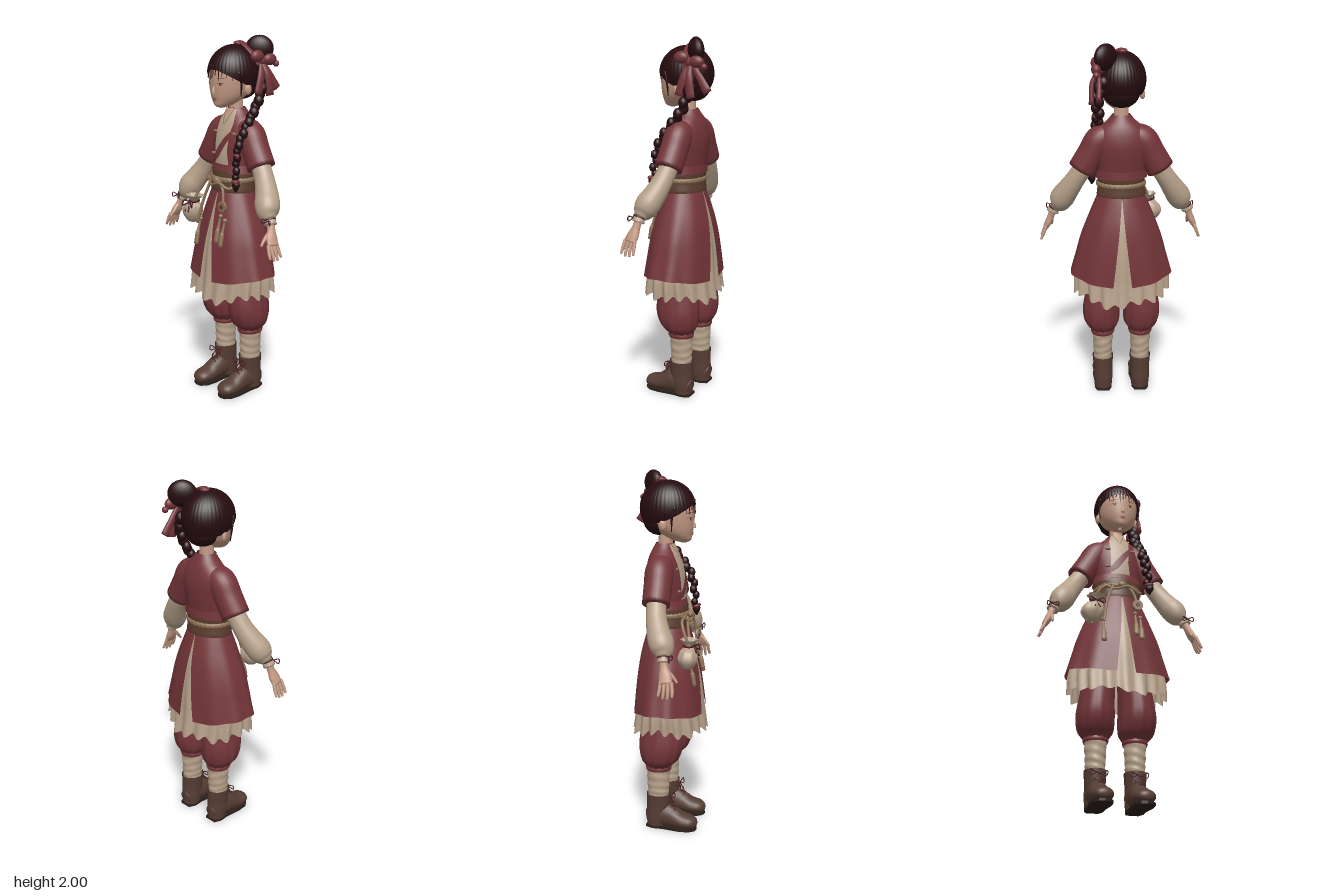
import * as THREE from 'three';

const mat = (name, color, side = THREE.DoubleSide) =>
  Object.assign(new THREE.MeshStandardMaterial({ color, side }), { name });
const V = (x, y, z) => new THREE.Vector3(x, y, z);
const { sin, cos, PI, max, sqrt } = Math;

// Smooth grid surface; u runs around, v runs along
function surface(nu, nv, fn, closed = true) {
  const pos = [], idx = [], w = closed ? nu : nu + 1;
  for (let i = 0; i <= nv; i++)
    for (let j = 0; j < w; j++) pos.push(...fn(j / nu, i / nv));
  for (let i = 0; i < nv; i++)
    for (let j = 0; j < nu; j++) {
      const a = i * w + j, b = i * w + (j + 1) % w;
      idx.push(a, b, a + w, b, b + w, a + w);
    }
  const g = new THREE.BufferGeometry();
  g.setAttribute('position', new THREE.Float32BufferAttribute(pos, 3));
  g.setIndex(idx);
  g.computeVertexNormals();
  return g;
}

const spline = pts => new THREE.CatmullRomCurve3(pts, false, 'catmullrom');

// Upright body made of ellipses, rows ascending: [y, cx, cz, rx, rz]
function profile(rows) {
  const c = spline(rows.map(r => V(r[1], r[0], r[2]))), q = spline(rows.map(r => V(r[3], r[4], 0)));
  const at = t => [c.getPoint(t), q.getPoint(t)];
  const frontZ = (x, y) => {
    let lo = 0, hi = 1;
    for (let k = 0; k < 24; k++) { const m = (lo + hi) / 2; if (c.getPoint(m).y < y) lo = m; else hi = m; }
    const [p, r] = at(lo);
    return p.z + r.y * sqrt(max(0, 1 - ((x - p.x) / r.x) ** 2));
  };
  return { at, frontZ };
}
function loft(prof, { nu = 40, nv = 24, m = () => 1, range = null, drop = () => 0 } = {}) {
  return surface(nu, nv, (u, v) => {
    const [a0, a1] = range ? range(v) : [0, 2 * PI];
    const a = a0 + (a1 - a0) * u, [p, r] = prof.at(v), k = m(a, v);
    return [p.x + r.x * sin(a) * k, p.y - drop(a, v), p.z + r.y * cos(a) * k];
  }, !range);
}
// Thin plate laid on the front of a body, rows ascending: [y, xLeft, xRight]
function plate(prof, rows, off) {
  const n = rows.length - 1;
  return surface(10, n * 4, (u, v) => {
    const i = Math.min(n - 1, Math.floor(v * n)), f = v * n - i;
    const [y, l, r] = rows[i].map((e, k) => e + (rows[i + 1][k] - e) * f), x = l + (r - l) * u;
    return [x, y, prof.frontZ(x, y) + off];
  }, false);
}
// Capped tube with varying elliptical section: [x, y, z, ra, rb]
function tube(pts, { nu = 12, seg = 5, ref = V(0, 0, 1) } = {}) {
  const c = spline(pts.map(p => V(p[0], p[1], p[2]))), q = spline(pts.map(p => V(p[3], p[4] ?? p[3], 0)));
  const n = (pts.length - 1) * seg;
  return surface(nu, n + 2, (u, v) => {
    const k = Math.round(v * (n + 2)) - 1, t = Math.min(1, max(0, k / n));
    const T = c.getTangent(t), A = ref.clone().cross(T).normalize(), B = T.clone().cross(A);
    const r = q.getPoint(t).multiplyScalar(k < 0 || k > n ? 0 : 1), a = u * 2 * PI;
    return c.getPoint(t).addScaledVector(A, r.x * cos(a)).addScaledVector(B, r.y * sin(a)).toArray();
  });
}
const ball = (x, y, z, a, b = a, c = a, ry = 0) =>
  new THREE.SphereGeometry(1, 20, 14).scale(a, b, c).rotateY(ry).translate(x, y, z);

export function createModel() {
  const model = new THREE.Group();
  model.name = 'girl';
  const red = mat('red cloth', 0x743539), cord = mat('dark red cord', 0x4a1c20);
  const linen = mat('linen', 0xb7a28b), skin = mat('skin', 0xc49a84), hair = mat('dark hair', 0x260c0f);
  const leather = mat('boot leather', 0x553d33), sole = mat('sole', 0x2b201c);
  const sash = mat('sash brown', 0x5c3d2e), rope = mat('rope', 0x8f7357), lip = mat('lip', 0xa0605a);
  const add = (name, g, m) => {
    const o = new THREE.Mesh(g, m);
    o.name = name;
    model.add(o);
    return o;
  };

  // Jacket body, front panel and sash
  const torso = profile([[1.2, 0, 0, .118, .09], [1.29, 0, -.008, .128, .094], [1.37, 0, -.014, .138, .1],
    [1.45, 0, -.022, .15, .1], [1.51, 0, -.026, .145, .09], [1.555, 0, -.028, .115, .076],
    [1.59, 0, -.028, .075, .06], [1.62, 0, -.026, .05, .046]]);
  add('jacket', loft(torso), red);
  add('frontPanel', plate(torso, [[1.32, -.055, .055], [1.4, -.055, .045], [1.55, -.058, .058], [1.615, -.04, .04]], .004), linen);
  add('crossBand', plate(torso, [[1.33, -.06, -.045], [1.36, -.06, -.01], [1.47, .025, .06], [1.5, .054, .066]], .008), red);
  add('neckOpening', plate(torso, [[1.55, -.001, .001], [1.585, -.016, .016], [1.618, -.03, .03]], .008), skin);
  for (const s of [1, -1])
    add('collarEdge', plate(torso, [[1.535, s * .004 - .003, s * .004 + .003], [1.617, s * .036 - .003, s * .036 + .003]], .009), rope);
  for (const [x, y] of [[-.07, 1.49], [-.075, 1.37], [.075, 1.49]])
    add('knotButton', ball(x, y, torso.frontZ(x, y) + .005, .018, .008, .008), rope);
  add('jacketHem', loft(profile([[1.275, 0, -.006, .142, .108], [1.32, 0, -.01, .136, .102]]), { nv: 3 }), red);
  add('waistSash', loft(profile([[1.165, 0, 0, .13, .105], [1.18, 0, 0, .134, .11], [1.23, 0, 0, .128, .106],
    [1.285, 0, -.004, .131, .106], [1.295, 0, -.004, .122, .098]])), sash);
  add('ropeBelt', loft(profile([[1.222, 0, 0, .126, .104], [1.23, 0, 0, .135, .113], [1.245, 0, 0, .135, .113],
    [1.253, 0, 0, .126, .104]]), { nu: 80, m: (a, v) => 1 + .02 * sin(30 * a + v * 5) }), rope);

  // Skirts: pleated underskirt and overskirt split at front and back
  const skirt = profile([[.7, 0, .008, .288, .196], [.82, 0, .005, .256, .185], [.92, 0, .003, .23, .172],
    [1.02, 0, 0, .194, .152], [1.12, 0, 0, .153, .125], [1.2, 0, 0, .12, .1]]);
  const under = profile([[.595, 0, .008, .262, .198], [.7, 0, .008, .262, .182], [.82, 0, .005, .236, .172],
    [.92, 0, .003, .208, .158], [1.02, 0, 0, .172, .138], [1.18, 0, 0, .112, .094]]);
  add('underskirt', loft(under, { nu: 192, nv: 20,
    m: (a, v) => 1 + (.05 * cos(18 * a) + .02 * sin(7 * a)) * (1 - v),
    drop: (a, v) => (.02 * cos(2 * a) + .012 * cos(18 * a) + .012 * sin(5 * a)) * (1 - v) ** 3 }), linen);
  for (const s of [0, 1])
    add('overskirt', loft(skirt, { nu: 60,
      range: v => { const w = .18 * (1 - v); return [s * PI + w, (s + 1) * PI - w]; },
      m: (a, v) => 1 + .018 * cos(10 * a) * (1 - v),
      drop: (a, v) => .02 * cos(2 * a) * (1 - v) ** 3 }), red);

  for (const s of [1, -1]) {
    // Arms
    add('jacketSleeve', tube([[s * .06, 1.53, -.025, .05, .06], [s * .115, 1.485, -.024, .077, .075],
      [s * .16, 1.41, -.02, .076, .075], [s * .213, 1.318, -.016, .078, .074]], { nu: 24 }), red);
    add('puffSleeve', tube([[s * .205, 1.33, -.016, .052], [s * .25, 1.26, -.004, .054], [s * .295, 1.19, .02, .062],
      [s * .323, 1.145, .042, .067], [s * .345, 1.105, .058, .056], [s * .368, 1.078, .066, .03]], { nu: 24 }), linen);
    add('sleeveCuff', tube([[s * .368, 1.085, .065, .028], [s * .38, 1.055, .07, .034]], { nu: 20 }), linen);
    add('wristCord', tube([[s * .369, 1.083, .066, .032], [s * .372, 1.077, .067, .032]], { nu: 20 }), cord);
    for (const d of [-1, 1])
      add('wristBow', tube([[s * .385, 1.08, .095, .003], [s * (.385 + d * .028), 1.09, .108, .003],
        [s * (.385 + d * .028), 1.065, .108, .003], [s * .385, 1.08, .095, .003]], { nu: 6 }), cord);
    add('hand', tube([[s * .375, 1.075, .067, .021], [s * .39, 1.03, .075, .019, .023],
      [s * .405, .99, .085, .02, .034], [s * .423, .955, .092, .015, .034]]), skin);
    for (let i = 0; i < 4; i++) {
      const z = .066 + i * .019, e = i === 0 || i === 3 ? .012 : 0;
      add('finger', tube([[s * .42, .965, z, .01], [s * .437, .92, z + .004 * i - .004, .009],
        [s * .45, .882 + e, z + .006 * i - .008, .006]], { nu: 8 }), skin);
    }
    add('thumb', tube([[s * .39, 1.02, .09, .011], [s * .388, .985, .122, .01], [s * .39, .955, .145, .006]], { nu: 8 }), skin);

    // Trousers, socks and boots
    const x = s * .108;
    add('trouserLeg', loft(profile([[.365, x, -.033, .062, .068], [.38, x, -.032, .068, .074],
      [.42, s * .112, -.025, .096, .104], [.49, s * .115, -.018, .104, .123], [.58, s * .11, -.014, .097, .12],
      [.76, s * .09, -.01, .085, .1]]), { nu: 72, m: (a, v) => 1 + .035 * cos(12 * a) * (1 - v) }), red);
    add('trouserCuff', loft(profile([[.352, x, -.033, .064, .07], [.365, x, -.033, .068, .074], [.385, x, -.033, .064, .07]])), red);
    add('sock', loft(profile([[.17, x, -.035, .05, .058], [.26, x, -.035, .054, .062], [.38, x, -.035, .06, .066]]),
      { nv: 40, m: (a, v) => 1 + .025 * sin(v * 30 + 2 * sin(a)) + .012 * sin(3 * a + v * 17) }), linen);
    add('bootShaft', loft(profile([[.012, x, -.047, .05, .053], [.07, x, -.042, .055, .062],
      [.13, x, -.036, .055, .066], [.205, x, -.034, .06, .068]])), leather);
    add('bootFoot', tube([[x, .052, -.098, .032, .045], [x, .06, -.06, .05, .056], [x, .075, 0, .053, .07],
      [x, .065, .05, .054, .06], [x, .05, .1, .058, .045], [x, .044, .15, .055, .037],
      [x, .038, .178, .038, .026], [x, .036, .191, .014, .012]], { ref: V(0, 1, 0), nu: 20 }), leather);
    const shape = new THREE.Shape([[-.034, -.1], [.034, -.1], [.05, -.06], [.047, 0], [.057, .09], [.052, .15],
      [.03, .182], [0, .19], [-.03, .182], [-.052, .15], [-.057, .09], [-.047, 0], [-.05, -.06]]
      .map(p => new THREE.Vector2(p[0], -p[1])));
    add('bootSole', new THREE.ExtrudeGeometry(shape, { depth: .014, bevelEnabled: false }).rotateX(-PI / 2).translate(x, 0, 0), sole);
    for (const d of [-1, 1]) {
      add('bootBow', tube([[x, .18, .036, .003], [x + d * .045, .192, .045, .003], [x + d * .04, .165, .05, .003],
        [x, .178, .038, .003], [x - d * .025, .13, .052, .003]], { nu: 6 }), cord);
      add('bootLace', tube([[x - d * .025, .115, .066, .003], [x, .13, .062, .003], [x + d * .025, .145, .05, .003]], { nu: 6 }), cord);
    }
  }

  // Head and face
  const head = profile([[1.625, 0, .08, .012, .015], [1.637, 0, .068, .04, .05], [1.665, 0, .045, .073, .08],
    [1.7, 0, .022, .096, .11], [1.75, 0, .01, .11, .126], [1.81, 0, .005, .114, .13],
    [1.87, 0, 0, .095, .11], [1.91, 0, 0, .05, .06]]);
  add('neck', new THREE.CylinderGeometry(.036, .042, .15, 24).translate(0, 1.625, -.02), skin);
  add('head', loft(head), skin);
  add('nose', tube([[0, 1.74, .131, .006], [0, 1.715, .138, .009], [0, 1.704, .137, .012, .009]]), skin);
  add('upperLip', plate(head, [[1.672, -.018, .018], [1.676, -.02, .02], [1.68, -.008, .008]], .004), lip);
  add('lowerLip', plate(head, [[1.663, -.008, .008], [1.671, -.017, .017]], .005), lip);
  for (const s of [1, -1]) {
    const at = (c, w) => [s * c - w, s * c + w];
    add('eyeWhite', plate(head, [[1.747, ...at(.047, .006)], [1.754, ...at(.047, .018)], [1.76, ...at(.047, .008)]], .002), linen);
    add('iris', plate(head, [[1.747, ...at(.046, .004)], [1.754, ...at(.046, .007)], [1.76, ...at(.046, .005)]], .004), sash);
    add('lashLine', plate(head, [[1.759, ...at(.048, .019)], [1.762, ...at(.047, .012)]], .005), sash);
    add('eyebrow', plate(head, [[1.784, ...at(.05, .02)], [1.788, ...at(.05, .014)]], .004), sash);
    add('ear', ball(s * .114, 1.725, -.005, .013, .03, .02, s * -.4), skin);
    add('sideLock', tube([[s * .113, 1.82, .06, .01], [s * .119, 1.76, .045, .006], [s * .112, 1.69, .042, .002]], { nu: 8 }), hair);
  }

  // Hair cap, high over the forehead, and loose fringe wisps
  const hairFn = (u, v) => {
    const a = u * 2 * PI, edge = 1.42 + .66 * (1 - cos(a)) * .5 + .26 * sin(a) ** 2;
    const p = edge * (1 - v), strand = 1 + .012 * cos(40 * a) * sin(p);
    return [.132 * sin(p) * sin(a) * strand, 1.805 + .148 * cos(p), -.008 + .15 * sin(p) * cos(a) * strand];
  };
  add('hairCap', surface(120, 24, hairFn), hair);
  add('napeHair', ball(0, 1.74, -.055, .098, .08, .085), hair);
  for (let i = -5; i <= 5; i++) {
    const x = i * .018, low = 1.785 + .014 * sin(i * 2.3), z = y => head.frontZ(x, y);
    add('fringeWisp', tube([[x * .9, 1.85, .136 - x * x * 5, .006, .004], [x, 1.825, z(1.825) + .007, .004, .003],
      [x * 1.06 + .004 * sin(i * 4), low, z(low) + .004, .0012]], { nu: 6 }), hair);
  }
  add('hairBun', ball(.085, 1.93, -.11, .076, .07, .04, PI / 4), hair);

  // Side braid falling forward over the shoulder
  const braid = spline([V(.105, 1.8, -.11), V(.128, 1.72, -.09), V(.125, 1.62, -.045), V(.132, 1.54, .015),
    V(.14, 1.45, .08), V(.148, 1.35, .105), V(.155, 1.235, .115)]);
  for (let i = 0; i < 20; i++) {
    const p = braid.getPoint(i / 19), r = .036 - .0007 * i, d = i % 2 ? 1 : -1;
    add('braidKnot', ball(p.x + d * .008, p.y, p.z + d * .004, r * .85, r, r * .8, d * .5), hair);
    if (i % 4 === 2) add('braidRibbon', ball(p.x + .012, p.y - .018, p.z + .014, r * .65, .009, r * .6), red);
  }
  add('braidTie', ball(.154, 1.25, .115, .025, .014, .025), red);
  add('braidEnd', tube([[.155, 1.25, .115, .018], [.157, 1.225, .116, .02], [.158, 1.195, .118, .004]]), hair);

  // Hair ribbon with loops, tails and beads
  add('ribbonKnot', ball(.115, 1.87, -.095, .03, .028, .03), red);
  add('ribbonBand', tube([[-.02, 1.945, -.03, .006, .016], [.0, 1.965, -.045, .006, .018], [.05, 1.945, -.045, .006, .02],
    [.1, 1.9, -.06, .006, .022], [.125, 1.85, -.08, .006, .024]]), red);
  add('ribbonBobble', ball(-.005, 1.955, -.04, .028, .014, .026), red);
  for (const [z, x, y] of [[-.045, .145, 1.7], [-.2, .12, 1.72], [-.12, .155, 1.69]])
    add('ribbonTail', tube([[.12, 1.87, -.095, .006, .012], [x, 1.8, (z - .095) / 2, .012, .02],
      [x + .005, y, z, .014, .026]]), red);
  for (const d of [-1, 1])
    add('ribbonLoop', ball(.135, 1.885 + d * .01, -.095 + d * .045, .025, .032, .042), red);
  add('ribbonBead', ball(.135, 1.85, -.185, .017), red);
  add('beadCord', tube([[.12, 1.87, -.1, .004], [.13, 1.87, -.15, .004], [.135, 1.85, -.185, .004]], { nu: 6 }), cord);

  // Pouch, cords, medallion and tassels hanging from the belt
  add('pouch', loft(profile([[.97, -.175, .148, .004, .004], [.98, -.175, .148, .035, .03], [1.025, -.176, .148, .062, .052],
    [1.07, -.168, .15, .052, .044], [1.095, -.16, .15, .024, .022], [1.13, -.153, .15, .052, .046]]),
    { nu: 60, m: (a, v) => 1 + .09 * v * cos(7 * a) }), linen);
  add('pouchTie', new THREE.TorusGeometry(.026, .007, 8, 20).rotateX(PI / 2).translate(-.16, 1.095, .15), cord);
  for (const d of [-1, 1])
    add('pouchBow', tube([[-.16, 1.09, .178, .004], [-.16 + d * .035, 1.1, .192, .004], [-.16 + d * .04, 1.07, .2, .004],
      [-.16, 1.088, .182, .004], [-.16 + d * .015, 1.04, .204, .004]], { nu: 6 }), cord);
  for (const pts of [
    [[-.06, 1.235, .11], [-.11, 1.215, .1], [-.145, 1.16, .12], [-.16, 1.1, .15]],
    [[-.1, 1.24, .09], [-.04, 1.205, .125], [.03, 1.225, .128], [.09, 1.2, .11], [.125, 1.23, .055]],
    [[.02, 1.235, .12], [.06, 1.19, .125], [.08, 1.11, .14]],
    [[-.05, 1.23, .115], [-.09, 1.12, .135], [-.115, .98, .165]]])
    add('beltCord', tube(pts.map(p => [...p, .008]), { nu: 8 }), rope);
  add('beltKnot', ball(0, 1.235, .122, .025, .02, .016), rope);
  add('medallion', new THREE.CylinderGeometry(.03, .03, .014, 24).rotateX(PI / 2).translate(.08, 1.105, .145), rope);
  add('medallionCentre', new THREE.CylinderGeometry(.012, .012, .008, 16).rotateX(PI / 2).translate(.08, 1.105, .153), sash);
  for (const [x, y] of [[.065, 1.05], [.095, 1.03], [-.115, 1.0]]) {
    const z = h => skirt.frontZ(x, h) + .01;
    add('tasselKnot', ball(x, y, z(y), .013), rope);
    add('tassel', tube([[x, y, z(y), .006], [x, y - .06, z(y - .06), .008], [x, y - .08, z(y - .08), .013],
      [x, y - .14, z(y - .14), .016, .01]]), rope);
  }
  return model;
}
